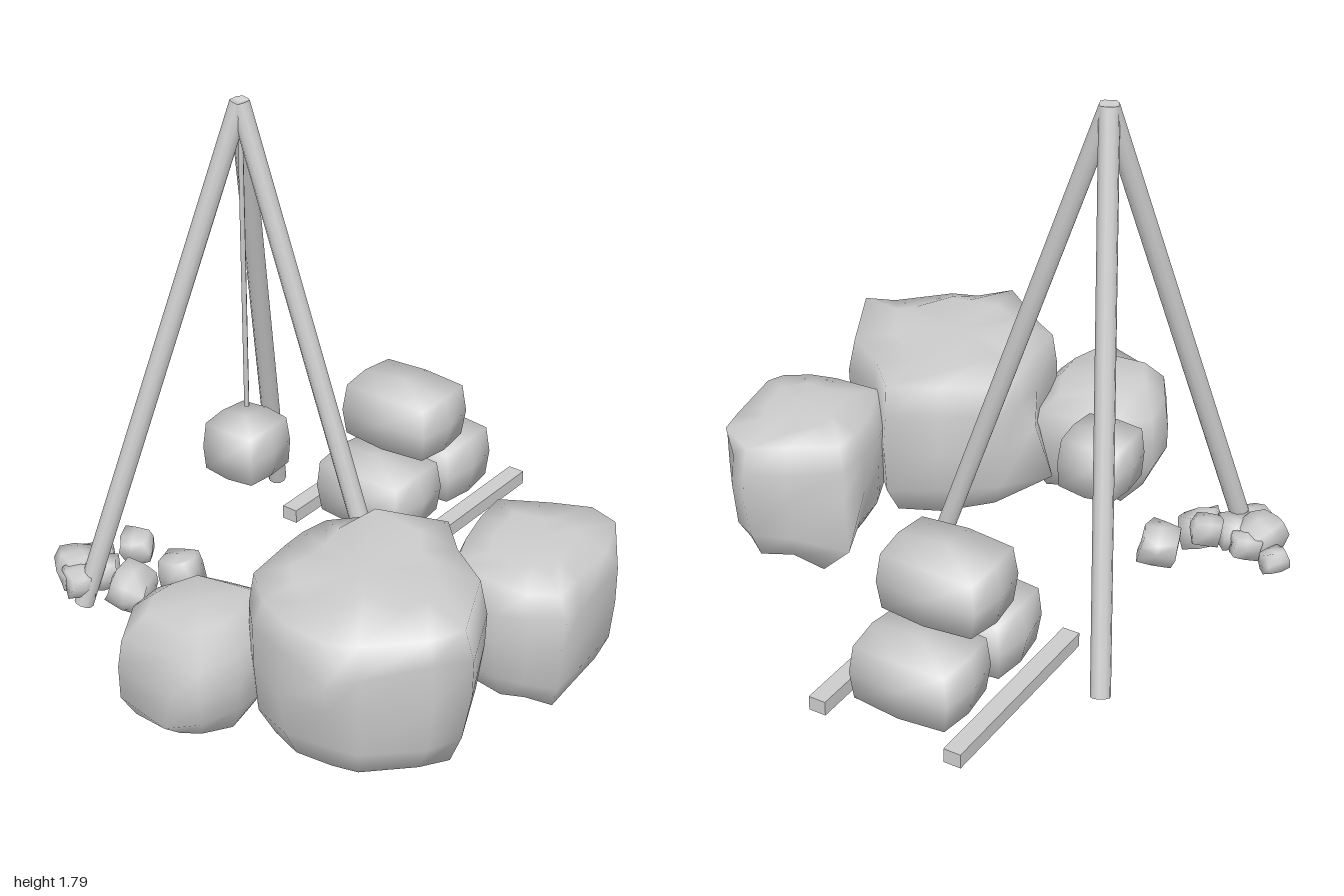
import * as THREE from 'three';
import { mergeVertices } from 'three/addons/utils/BufferGeometryUtils.js';

const grey = new THREE.MeshStandardMaterial({ color: 0xcccccc });

let seed = 7;
const rand = () => {
  seed = (seed * 16807) % 2147483647;
  return seed / 2147483647 - 0.5;
};

function add(parent, name, geometry, x = 0, y = 0, z = 0) {
  const mesh = new THREE.Mesh(geometry, grey);
  mesh.name = name;
  mesh.position.set(x, y, z);
  parent.add(mesh);
  return mesh;
}

// Round pole between two points
function pole(parent, name, from, to, radius, sides) {
  const a = new THREE.Vector3(...from), b = new THREE.Vector3(...to);
  const dir = b.clone().sub(a);
  const mesh = add(parent, name, new THREE.CylinderGeometry(radius, radius, dir.length(), sides));
  mesh.position.copy(a).add(b).multiplyScalar(0.5);
  mesh.quaternion.setFromUnitVectors(new THREE.Vector3(0, 1, 0), dir.normalize());
}

// Box with each side split in two, its edges and corners drawn in
function lump(hx, hy, hz, jitter) {
  let g = new THREE.BoxGeometry(2, 2, 2, 2, 2, 2);
  g.deleteAttribute('uv');
  g.deleteAttribute('normal');
  g = mergeVertices(g);
  const p = g.attributes.position;
  const pull = [0, 1, 0.88, 0.82];
  for (let i = 0; i < p.count; i++) {
    const v = [p.getX(i), p.getY(i), p.getZ(i)];
    const k = pull[v.filter((c) => Math.abs(c) > 0.5).length];
    p.setXYZ(i, ...v.map((c, j) => [hx, hy, hz][j] * (c * k + rand() * jitter)));
  }
  g.computeVertexNormals();
  return g;
}

// Boulder: a plan outline scaled through the [scale, height] levels, with a few corners pulled out
function boulder(outline, levels, pulls) {
  const n = outline.length;
  const cx = outline.reduce((s, o) => s + o[0], 0) / n;
  const cz = outline.reduce((s, o) => s + o[1], 0) / n;
  const pts = [];
  for (const [s, y] of levels) {
    for (const [x, z] of outline) {
      const k = s === 1 ? 1 : s + rand() * 0.06;
      pts.push([cx + (x - cx) * k, y + rand() * 0.03, cz + (z - cz) * k]);
    }
  }
  for (const q of pulls) {
    const dist = (v) => Math.hypot(v[0] - q[0], v[1] - q[1], v[2] - q[2]);
    let best = 0;
    pts.forEach((v, i) => { if (dist(v) < dist(pts[best])) best = i; });
    pts[best] = q;
  }
  const last = levels.length - 1;
  const bottom = pts.push([cx, levels[0][1] - 0.01, cz]) - 1;
  const top = pts.push([cx, levels[last][1] + 0.01, cz]) - 1;
  const index = [];
  for (let i = 0; i < n; i++) {
    const j = (i + 1) % n;
    for (let r = 0; r < last; r++) {
      const a = r * n + i, b = r * n + j;
      index.push(b, a, a + n, b, a + n, b + n);
    }
    index.push(i, j, bottom, last * n + j, last * n + i, top);
  }
  const g = new THREE.BufferGeometry();
  g.setAttribute('position', new THREE.Float32BufferAttribute(pts.flat(), 3));
  g.setIndex(index);
  g.computeVertexNormals();
  return g;
}

export function createModel() {
  seed = 7;
  const model = new THREE.Group();
  model.name = 'campStore';

  // Tripod with a hanging bundle
  const tripod = new THREE.Group();
  tripod.name = 'tripod';
  model.add(tripod);
  const apex = [-0.045, 1.787, -0.404];
  const feet = [[-0.045, 0.06, 0.2], [0.482, 0.06, -0.71], [-0.56, 0.06, -0.71]];
  feet.forEach((foot) => pole(tripod, 'tripodLeg', foot, apex, 0.033, 10));
  pole(tripod, 'rope', [-0.045, 0.7, -0.404], apex, 0.009, 6);
  add(tripod, 'hangingBundle', lump(0.12, 0.105, 0.118, 0.05), -0.045, 0.556, -0.408);

  // Sacks stacked on two rails
  const stack = new THREE.Group();
  stack.name = 'sackStack';
  model.add(stack);
  for (const z of [0, -0.49]) add(stack, 'rail', new THREE.BoxGeometry(0.72, 0.05, 0.06), 0.64, 0.08, z);
  for (const [x, y] of [[0.485, 0.19], [0.795, 0.19], [0.637, 0.434]]) {
    add(stack, 'sack', lump(0.15, 0.119, 0.2, 0.03), x, y, -0.248);
  }

  // Boulders
  const boulders = new THREE.Group();
  boulders.name = 'boulders';
  model.add(boulders);
  add(boulders, 'largeBoulder', boulder(
    [[-0.84, 0.37], [-0.77, 0.21], [-0.67, 0.11], [-0.48, 0.08], [-0.36, 0.07], [-0.25, 0.08], [-0.1, 0.25],
      [-0.03, 0.43], [-0.15, 0.56], [-0.26, 0.72], [-0.5, 0.84], [-0.62, 0.78], [-0.78, 0.62], [-0.82, 0.53]],
    [[0.45, 0.035], [0.8, 0.06], [0.94, 0.16], [1, 0.32], [0.99, 0.46], [0.93, 0.56], [0.6, 0.59]],
    [[-0.36, 0.2, -0.05], [-0.36, 0.38, 0.02], [-0.84, 0.59, 0.4], [-0.62, 0.63, 0.52], [-0.2, 0.62, 0.25],
      [-0.855, 0.43, 0.55], [-0.53, 0.58, 0.83]]));
  add(boulders, 'frontBoulder', boulder(
    [[-0.18, 0.7], [-0.17, 0.5], [0, 0.43], [0.15, 0.39], [0.27, 0.39], [0.38, 0.55], [0.44, 0.68],
      [0.37, 0.78], [0.25, 0.88], [0, 0.91], [-0.1, 0.9], [-0.15, 0.8]],
    [[0.42, 0.02], [0.78, 0.05], [0.93, 0.14], [1, 0.28], [0.99, 0.4], [0.89, 0.48], [0.5, 0.505]],
    [[0.3, 0.12, 0.355], [0.33, 0.04, 0.44], [0.36, 0.5, 0.8], [-0.1, 0.42, 0.915]]));
  add(boulders, 'rearBoulder', boulder(
    [[-0.97, 0.05], [-0.96, -0.18], [-0.8, -0.27], [-0.65, -0.29], [-0.54, -0.21], [-0.5, -0.11], [-0.45, 0.08],
      [-0.64, 0.16], [-0.8, 0.18], [-0.93, 0.13]],
    [[0.45, 0.05], [0.8, 0.07], [0.97, 0.15], [1, 0.25], [0.94, 0.35], [0.62, 0.42]],
    [[-0.97, 0.4, 0.06], [-1, 0.14, 0.04], [-0.55, 0.05, -0.22]]));

  // Pile of small stones around a tripod foot: x, y, z, half size
  const stones = new THREE.Group();
  stones.name = 'stonePile';
  model.add(stones);
  [[-0.42, 0.105, -0.87, 0.046], [-0.49, 0.14, -0.79, 0.075], [-0.41, 0.14, -0.77, 0.05], [-0.55, 0.14, -0.73, 0.055],
    [-0.46, 0.14, -0.71, 0.06], [-0.34, 0.2, -0.66, 0.055], [-0.45, 0.12, -0.585, 0.075],
    [-0.28, 0.125, -0.515, 0.07]].forEach(([x, y, z, r]) => {
    const stone = add(stones, 'stone', lump(r, r * 0.85, r, 0.28), x, y, z);
    stone.rotation.set(rand() * 0.6, rand() * 3, rand() * 0.6);
  });
  return model;
}
